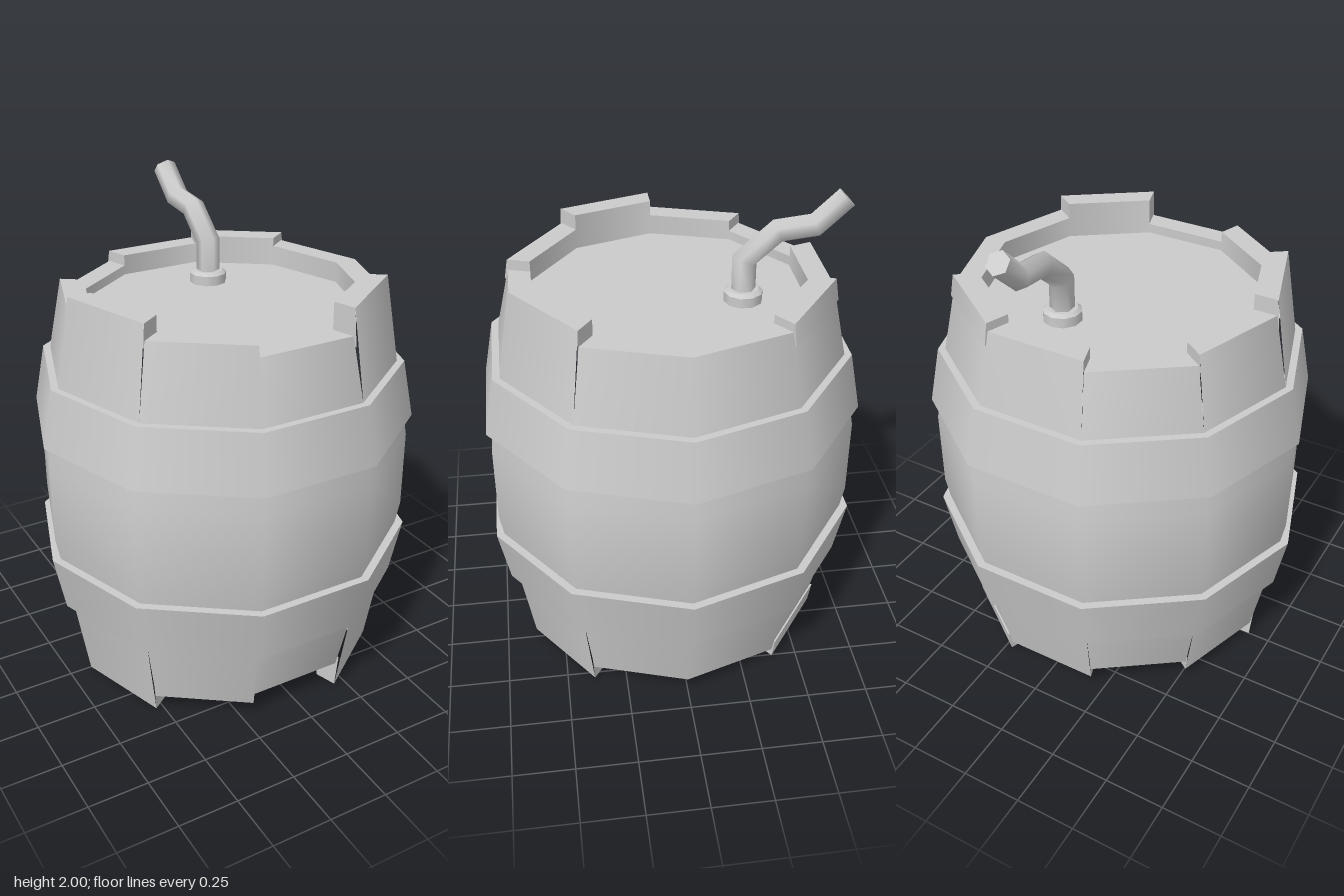
import * as THREE from 'three';
import { mergeVertices } from 'three/addons/utils/BufferGeometryUtils.js';

const STEP = Math.PI / 5; // ten staves
const MID = 1.71;         // bottom heights mirror the top ones: y -> MID - y
const INNER = 0.56, RIM = 0.655, LID = 1.56;

export function createModel() {
  const model = new THREE.Group();
  const mat = new THREE.MeshStandardMaterial({ color: 0xcccccc });
  const thin = new THREE.MeshStandardMaterial({ color: 0xcccccc, side: THREE.DoubleSide });

  const add = (parent, name, geo, m = mat) => {
    const mesh = new THREE.Mesh(geo, m);
    mesh.name = name;
    parent.add(mesh);
    return mesh;
  };
  // each profile is revolved on its own, so edges between profiles stay sharp
  const revolve = (parent, name, profiles, stave = null) => {
    for (const p of profiles) {
      const pts = p.map(([r, y]) => new THREE.Vector2(r, y));
      const geo = stave === null
        ? new THREE.LatheGeometry(pts, 10, Math.PI / 2, Math.PI * 2)
        : new THREE.LatheGeometry(pts, 1, Math.PI / 2 - STEP * (stave + 1), STEP);
      add(parent, name, geo);
    }
  };
  // flat radial wall closing the end of a rim piece
  const endWall = (parent, corners, angle) => {
    const shape = new THREE.Shape(corners.map(([r, y]) => new THREE.Vector2(r, y)));
    add(parent, 'staveEnd', new THREE.ShapeGeometry(shape).rotateY(-angle), thin);
  };

  // staves of uneven length, counted from +x towards +z
  const tops = [1.645, 1.71, 1.6, 1.645, 1.71, 1.645, 1.6, 1.645, 1.635, 1.645];
  tops.forEach((t, i) => {
    const stave = new THREE.Group();
    stave.name = 'stave';
    model.add(stave);
    const b = MID - t;
    revolve(stave, 'staveSurface', [
      [[RIM, b], [0.715, 0.36], [0.775, 0.69], [0.775, 1.02], [0.715, 1.35], [RIM, t]],
      [[RIM, t], [INNER, t]],
      [[INNER, t], [INNER, LID]],
      [[INNER, MID - LID], [INNER, b]],
      [[INNER, b], [RIM, b]],
    ], i);
    for (const a of [i * STEP, (i + 1) * STEP]) {
      endWall(stave, [[INNER, LID], [0.67, LID], [RIM, t], [INNER, t]], a);
      endWall(stave, [[INNER, b], [RIM, b], [0.67, MID - LID], [INNER, MID - LID]], a);
    }
  });

  // raised blocks at both ends of one back stave
  const blocks = new THREE.Group();
  blocks.name = 'raisedBlocks';
  model.add(blocks);
  const block = [[INNER, 1.59], [0.672, 1.59], [0.658, 1.68], [INNER, 1.68]];
  const mirrored = block.map(([r, y]) => [r, MID - y]).reverse();
  for (const loop of [block, mirrored]) {
    revolve(blocks, 'raisedBlock', loop.map((p, k) => [p, loop[(k + 1) % 4]]), 8);
    for (const a of [8 * STEP, 9 * STEP]) endWall(blocks, loop, a);
  }

  // top and bottom lids
  add(model, 'topLid', new THREE.CircleGeometry(INNER, 10).rotateX(-Math.PI / 2)).position.y = LID;
  add(model, 'bottomLid', new THREE.CircleGeometry(INNER, 10).rotateX(Math.PI / 2)).position.y = MID - LID;

  // two flared hoops
  const hoop = [[0.7, 1.11], [0.792, 1.11], [0.745, 1.35], [0.7, 1.35]];
  const lowHoop = hoop.map(([r, y]) => [r, MID - 0.005 - y]).reverse();
  for (const [name, loop] of [['upperHoop', hoop], ['lowerHoop', lowHoop]]) {
    const group = new THREE.Group();
    group.name = name;
    model.add(group);
    revolve(group, 'hoopFace', [0, 1, 2].map((k) => [loop[k], loop[k + 1]]));
  }

  // collar around the pipe
  const collar = new THREE.CylinderGeometry(0.062, 0.077, 0.012, 10);
  add(model, 'collarTop', collar).position.set(0.1, 1.606, -0.285);
  const collarBase = new THREE.CylinderGeometry(0.077, 0.077, 0.04, 10);
  add(model, 'collarBase', collarBase).position.set(0.1, 1.58, -0.285);

  // bent six-sided pipe with mitred joints
  const path = [[1.56, -0.285], [1.735, -0.285], [1.845, -0.41], [1.86, -0.555], [1.966, -0.67]]
    .map(([y, z]) => new THREE.Vector3(0.1, y, z));
  const dir = (k) => path[k + 1].clone().sub(path[k]).normalize();
  const pos = [], idx = [];
  const last = path.length - 1;
  path.forEach((p, k) => {
    const d0 = dir(Math.max(k - 1, 0)), d1 = dir(Math.min(k, last - 1));
    const t = d0.clone().add(d1).normalize();
    const up = new THREE.Vector3(0, -t.z, t.y); // across the bend
    const stretch = 0.048 / t.dot(d1);
    for (let s = 0; s < 6; s++) {
      const a = s * Math.PI / 3;
      const v = p.clone().addScaledVector(up, Math.cos(a) * stretch);
      v.x += Math.sin(a) * 0.048;
      pos.push(v.x, v.y, v.z);
      if (k < last) {
        const n = (s + 1) % 6, o = k * 6;
        idx.push(o + s, o + n, o + 6 + s, o + n, o + 6 + n, o + 6 + s);
      }
    }
  });
  const pipe = new THREE.BufferGeometry();
  pipe.setAttribute('position', new THREE.Float32BufferAttribute(pos, 3));
  pipe.setIndex(idx);
  const smoothPipe = mergeVertices(pipe);
  smoothPipe.computeVertexNormals();
  add(model, 'pipe', smoothPipe, thin);

  // flat end of the pipe
  const cap = new THREE.CircleGeometry(0.048, 6, Math.PI / 2);
  const capMesh = add(model, 'pipeEnd', cap, thin);
  capMesh.position.copy(path[last]);
  capMesh.quaternion.setFromUnitVectors(new THREE.Vector3(0, 0, -1), dir(last - 1));

  return model;
}
